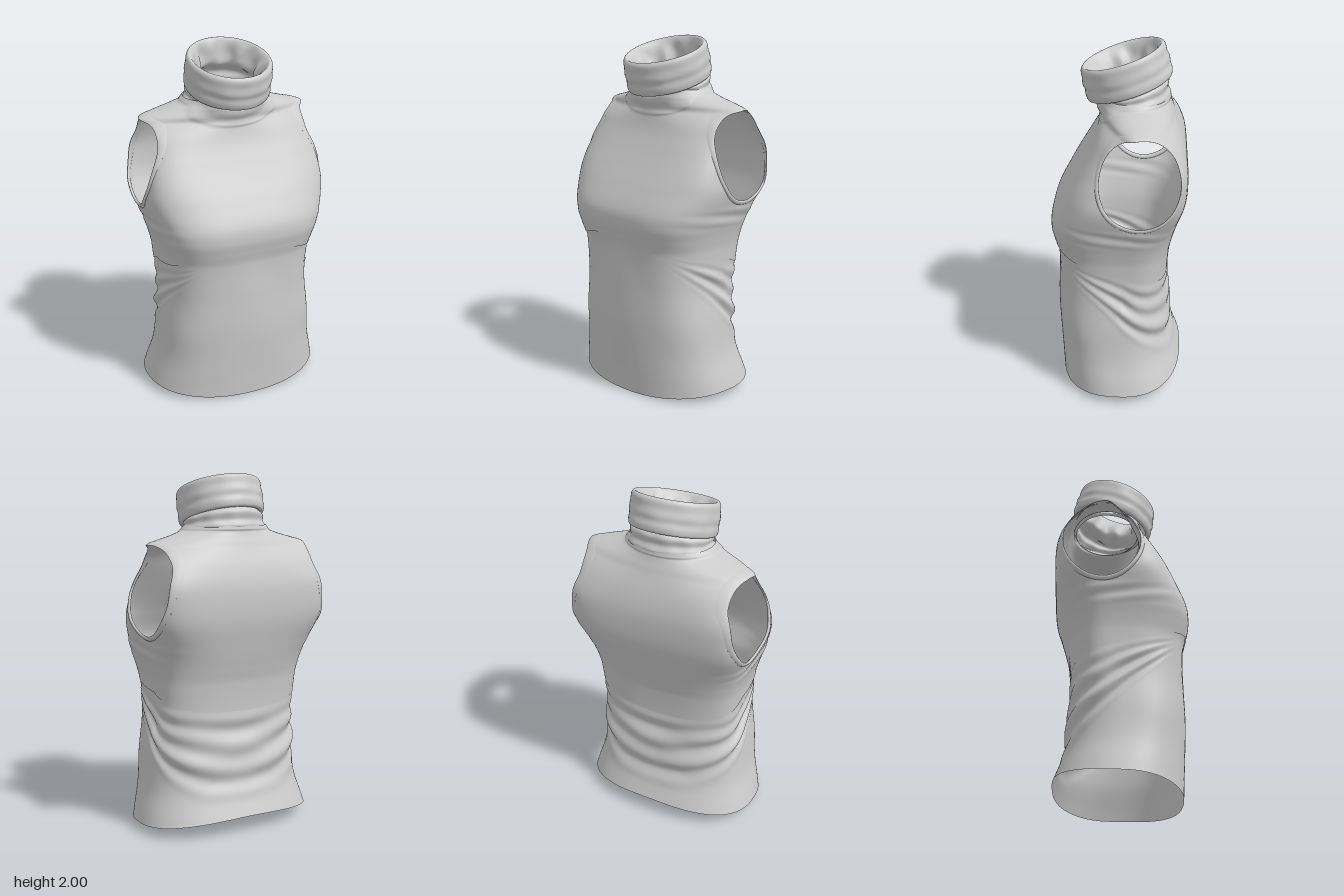
import * as THREE from 'three';

const material = new THREE.MeshStandardMaterial({ color: 0xcccccc, side: THREE.DoubleSide });
const { clamp, lerp, smoothstep } = THREE.MathUtils;
const TAU = Math.PI * 2;
const SEG = 144;

// Torso sections: height, half width, front z, back z, front and back squareness
const SECTIONS = [
  [0.0, 0.54, 0.34, -0.41, 2.3, 2.4],
  [0.1, 0.515, 0.345, -0.365, 2.3, 2.5],
  [0.25, 0.475, 0.352, -0.312, 2.4, 2.6],
  [0.45, 0.455, 0.36, -0.293, 2.6, 2.7],
  [0.65, 0.437, 0.357, -0.28, 2.9, 2.8],
  [0.85, 0.445, 0.356, -0.292, 3.2, 3.0],
  [0.93, 0.46, 0.372, -0.31, 3.4, 3.0],
  [1.0, 0.48, 0.385, -0.328, 3.5, 3.1],
  [1.08, 0.502, 0.375, -0.347, 3.5, 3.6],
  [1.2, 0.533, 0.312, -0.373, 3.6, 5.0],
  [1.3, 0.523, 0.25, -0.38, 4.2, 6.5],
  [1.4, 0.51, 0.19, -0.375, 4.1, 7.0],
  [1.5, 0.502, 0.138, -0.35, 3.2, 4.5],
  [1.6, 0.515, 0.108, -0.31, 1.55, 2.2],
  [1.635, 0.462, 0.11, -0.297, 1.5, 2.0],
  [1.665, 0.35, 0.113, -0.285, 1.65, 2.0],
  [1.69, 0.27, 0.116, -0.277, 1.9, 2.0],
  [1.72, 0.235, 0.116, -0.27, 2.0, 2.0],
];

const bump = (v, lo, hi, soft) => smoothstep(v, lo, lo + soft) * (1 - smoothstep(v, hi - soft, hi));

// Smooth lookup in the section table (cubic Hermite); the widest line sits further back at the bust
function section(y) {
  const S = SECTIONS, last = S.length - 1;
  let i = 0;
  while (i < last - 1 && y > S[i + 1][0]) i++;
  const p0 = S[Math.max(i - 1, 0)], p1 = S[i], p2 = S[i + 1], p3 = S[Math.min(i + 2, last)];
  const h = p2[0] - p1[0], t = clamp((y - p1[0]) / h, 0, 1);
  const [, w, front, back, nf, nb] = p1.map((a, k) => {
    const m1 = (p2[k] - p0[k]) / (p2[0] - p0[0]) * h, m2 = (p3[k] - p1[k]) / (p3[0] - p1[0]) * h;
    const t2 = t * t, t3 = t2 * t;
    return (2 * t3 - 3 * t2 + 1) * a + (t3 - 2 * t2 + t) * m1 + (3 * t2 - 2 * t3) * p2[k] + (t3 - t2) * m2;
  });
  const mid = (front + back) / 2 - 0.08 * bump(y, 0.35, 1.35, 0.35);
  return { w, nf, nb, mid, front: front - mid, back: mid - back };
}

// Point of the torso surface at an angle and height
function torsoPoint(a, y, grow = 1) {
  const s = section(y), c = Math.cos(a), d = Math.sin(a);
  const [n, half] = d > 0 ? [s.nf, s.front] : [s.nb, s.back];
  const r = grow * Math.pow(Math.abs(c) ** n + Math.abs(d) ** n, -1 / n);
  return new THREE.Vector3(s.w * c * r, y, s.mid + half * d * r);
}

// Half width of the torso at a given height and depth
function sideX(y, z) {
  const s = section(y), [n, half] = z > s.mid ? [s.nf, s.front] : [s.nb, s.back];
  const q = Math.min(Math.abs(z - s.mid) / half, 0.98);
  return s.w * Math.pow(1 - q ** n, 1 / n);
}

// Closed loft of rings; point(t, angle) gives the surface, cut(vertex) marks a hole
function loft(name, rows, point, cut = () => false) {
  const pos = [], index = [], gone = [];
  for (let i = 0; i <= rows; i++) {
    for (let j = 0; j < SEG; j++) {
      const p = point(i / rows, (j / SEG) * TAU);
      gone.push(cut(p));
      pos.push(p.x, p.y, p.z);
    }
  }
  const tri = (a, b, c) => { if (!(gone[a] && gone[b] && gone[c])) index.push(a, b, c); };
  for (let i = 0; i < rows; i++) {
    for (let j = 0; j < SEG; j++) {
      const k = (j + 1) % SEG, a = i * SEG + j, b = i * SEG + k;
      tri(a, a + SEG, b);
      tri(b, a + SEG, b + SEG);
    }
  }
  const g = new THREE.BufferGeometry();
  g.setAttribute('position', new THREE.Float32BufferAttribute(pos, 3));
  g.setIndex(index);
  g.computeVertexNormals();
  const mesh = new THREE.Mesh(g, material);
  mesh.name = name;
  return mesh;
}

// Heights of the seams and the hem around the body
const seamY = (a) => {
  const s = Math.sin(a);
  return s > 0 ? 0.8 + 0.13 * s ** 1.8 : 0.8 + 0.11 * s;
};
const hemY = (a) => 0.048 - 0.048 * Math.sin(a) * Math.abs(Math.sin(a));
const neckSeamY = (a) => 1.69 - 0.12 * Math.max(Math.sin(a), 0) ** 3;

// Armhole ellipse in the side plane
const ARM = { y: 1.374, z: -0.122, ry: 0.255, rz: 0.222 };

// Vertices inside the armhole slide onto its rim
function cutArmhole(p) {
  if (Math.abs(p.x) < 0.25) return false;
  const u = (p.y - ARM.y) / ARM.ry, v = (p.z - ARM.z) / ARM.rz, r = Math.hypot(u, v);
  if (r >= 1) return false;
  const k = 1 / Math.max(r, 1e-4);
  p.y = ARM.y + u * k * ARM.ry;
  p.z = ARM.z + v * k * ARM.rz;
  p.x = Math.sign(p.x) * sideX(p.y, p.z);
  return true;
}

// Draped lower panel, folds fan from the front seam to the back waist
function lowerPoint(t, a) {
  const y = lerp(hemY(a), seamY(a) + 0.01, t);
  const p = torsoPoint(a, y, 0.99 + 0.01 * (1 - smoothstep(t, 0.2, 0.9)));
  const f = clamp((0.36 - p.z) / 0.65, 0.02, 1);
  const phase = (0.88 - y) / f ** 0.85;
  const bend = 0.7 * Math.sin(2 * a + 1) + 0.5 * Math.sin(5 * a);
  const fold = Math.cos(((phase - 0.5) / 0.15) * TAU + bend) + 0.5 * Math.cos(((phase - 0.48) / 0.24) * TAU - bend);
  const amount = 0.009 * smoothstep(f, 0.05, 0.6) * bump(phase, 0.15, 0.72, 0.16) * fold;
  // broad drapes down the front, spreading from the bust
  const spread = Math.abs(p.x) * (9 + 9 * t);
  const drape = 0.006 * Math.cos(spread) * Math.max(Math.sin(a), 0) * bump(t, 0.1, 1, 0.35);
  p.x += Math.cos(a) * amount;
  p.z += Math.sin(a) * amount + drape;
  return p;
}

// Smooth upper panel, rows close up towards the shoulders
function upperPoint(t, a) {
  const y = lerp(seamY(a), 1.72, 1 - (1 - t) ** 1.6);
  const p = torsoPoint(a, y);
  // small pulls below the armhole
  const pull = 0.005 * Math.sin(y * 70 - p.z * 12) * bump(y, 0.98, 1.12, 0.05) * Math.cos(a) ** 4;
  // raised neck piece with a soft horizontal fold
  const rise = y - neckSeamY(a), front = Math.max(Math.sin(a), 0) ** 2;
  const neck = 0.007 * smoothstep(rise, 0, 0.012) + 0.012 * front * bump(rise, 0.04, 0.13, 0.04);
  p.x += Math.sign(p.x) * pull + Math.cos(a) * neck;
  p.z += Math.sin(a) * neck;
  return p;
}

// Neck rises inside the collar, then folds over: y, z, x radius, z radius, tilt, wrinkle
const COLLAR = [
  [1.69, -0.078, 0.235, 0.185, 0.02, 0], [1.705, -0.075, 0.244, 0.203, 0.08, 0.008],
  [1.725, -0.072, 0.23, 0.19, 0.16, 0.012], [1.75, -0.068, 0.232, 0.2, 0.24, 0.012],
  [1.775, -0.062, 0.2, 0.18, 0.3, 0.02], [1.81, -0.055, 0.165, 0.155, 0.32, 0.05],
  [1.86, -0.045, 0.175, 0.163, 0.32, 0.05], [1.905, -0.022, 0.197, 0.186, 0.32, 0.02],
  [1.93, -0.012, 0.216, 0.205, 0.32, 0], [1.932, -0.012, 0.23, 0.217, 0.32, 0],
  [1.915, -0.015, 0.24, 0.229, 0.32, 0], [1.88, -0.022, 0.242, 0.23, 0.32, 0.004],
  [1.845, -0.03, 0.245, 0.236, 0.32, 0.006], [1.815, -0.038, 0.241, 0.232, 0.32, 0.006],
  [1.785, -0.046, 0.243, 0.236, 0.32, 0.004], [1.757, -0.052, 0.236, 0.229, 0.32, 0],
  [1.755, -0.05, 0.218, 0.21, 0.32, 0],
];

function collarPoint(t, a) {
  const f = t * (COLLAR.length - 1), i = Math.min(Math.floor(f), COLLAR.length - 2), u = f - i;
  const at = (k) => COLLAR[clamp(k, 0, COLLAR.length - 1)];
  const [y, z, rx, rz, tilt, wrinkle] = at(i).map((b, k) => {
    const p = at(i - 1)[k], c = at(i + 1)[k], d = at(i + 2)[k];
    return b + 0.5 * u * (c - p + u * (2 * p - 5 * b + 4 * c - d + u * (3 * (b - c) + d - p)));
  });
  const w = 1 + wrinkle * (Math.sin(7 * a + 9 * t) + 0.6 * Math.sin(12 * a - 14 * t + 1));
  const dz = Math.sin(a) * rz * w;
  return new THREE.Vector3(0.006 + Math.cos(a) * rx * w, y - tilt * dz, z + dz);
}

// Flat rounded band around an armhole: a torus laid onto the side of the torso
function armholeBinding(side) {
  const g = new THREE.TorusGeometry(1.01, 0.05, 12, 120);
  const p = g.attributes.position;
  for (let i = 0; i < p.count; i++) {
    const y = ARM.y + ARM.ry * p.getY(i), z = ARM.z + ARM.rz * p.getX(i);
    p.setXYZ(i, side * (sideX(y, z) + 0.18 * p.getZ(i)), y, z);
  }
  g.computeVertexNormals();
  const mesh = new THREE.Mesh(g, material);
  mesh.name = side > 0 ? 'leftArmholeBinding' : 'rightArmholeBinding';
  return mesh;
}

export function createModel() {
  const group = new THREE.Group();
  group.name = 'sleevelessTurtleneck';
  group.add(
    loft('lowerPanel', 110, lowerPoint),
    loft('upperPanel', 120, upperPoint, cutArmhole),
    loft('rollCollar', 80, collarPoint),
    armholeBinding(1),
    armholeBinding(-1),
  );
  return group;
}
